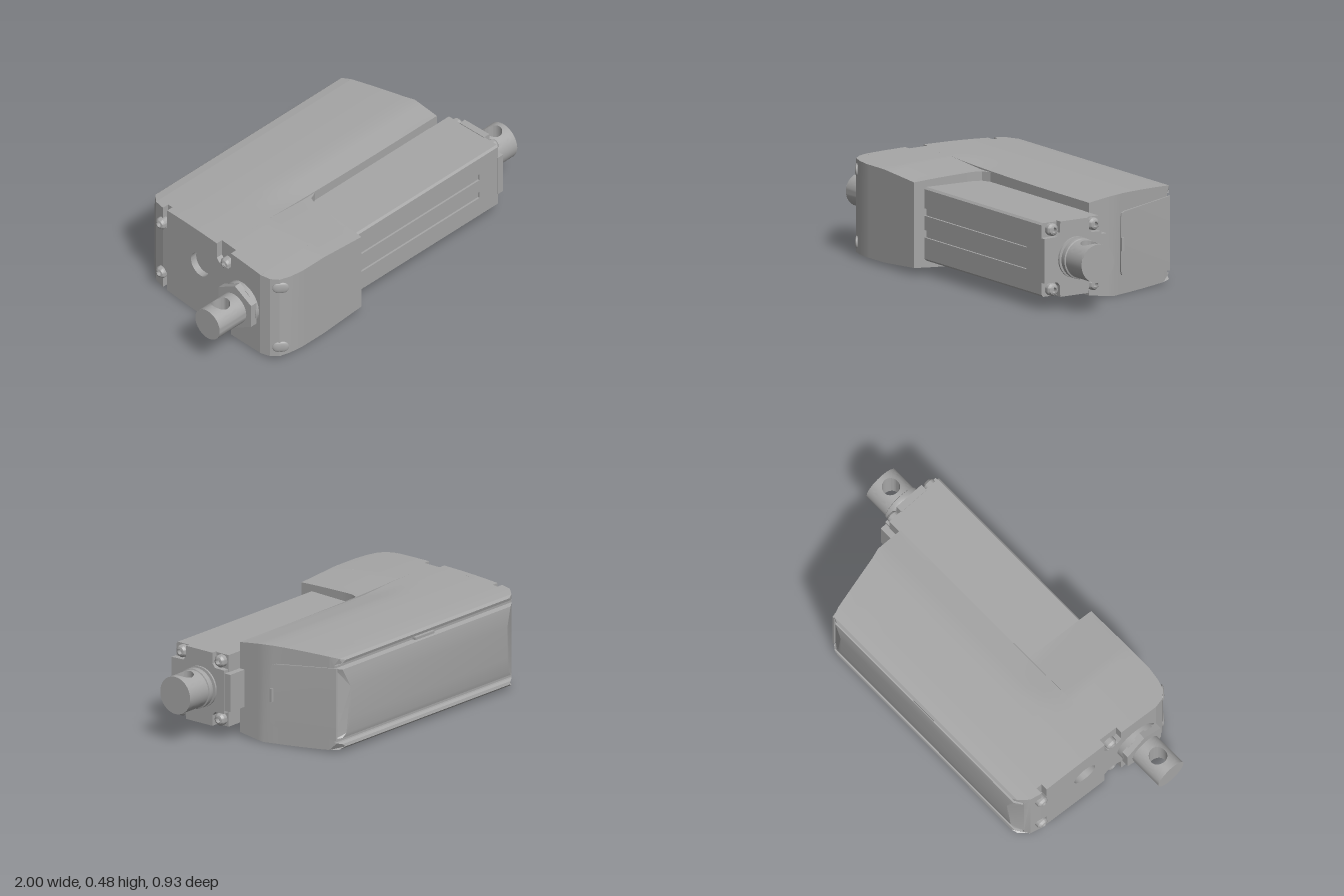
import * as THREE from 'three';
import { toCreasedNormals } from 'three/addons/utils/BufferGeometryUtils.js';

const CY = 0.2425; // mid height of the whole body

// linear interpolation in a short table of [z, x]
function lerpTable(table, z) {
  if (z <= table[0][0]) return table[0][1];
  for (let i = 1; i < table.length; i++) {
    const [z0, x0] = table[i - 1], [z1, x1] = table[i];
    if (z <= z1) return x0 + (x1 - x0) * (z - z0) / (z1 - z0);
  }
  return table[table.length - 1][1];
}

// plan outline of the housing: left and right limits for each z
const leftEdge = [[-0.465, -0.6], [-0.45, -0.65], [-0.43, -0.68], [-0.4, -0.7], [-0.34, -0.715],
  [0.35, -0.766], [0.4, -0.755], [0.435, -0.725], [0.452, -0.67], [0.462, -0.6]];
const rightEdge = [[-0.465, 0.53], [-0.45, 0.595], [-0.44, 0.61], [-0.4, 0.622], [-0.12, 0.688],
  [-0.065, 0.705], [0.08, 0.705], [0.0805, -0.12], [0.1, -0.165], [0.14, -0.18], [0.462, -0.2]];
const left = z => lerpTable(leftEdge, z);
const right = z => lerpTable(rightEdge, z);

// crowned top that dips toward the inner edge of the L
function topY(x, z) {
  const crown = z > -0.06 ? 0.018 * ((z + 0.06) / 0.52) ** 2 : 0.014 * ((z + 0.06) / 0.38) ** 2;
  const t = Math.hypot(Math.max(0, (-0.2 - x) / 0.25), Math.max(0, (0.08 - z) / 0.14));
  return 0.485 - crown - 0.018 * Math.max(0, 1 - t);
}

function fromTriangles(points, crease) {
  const g = new THREE.BufferGeometry();
  g.setAttribute('position', new THREE.Float32BufferAttribute(points, 3));
  g.computeVertexNormals();
  return toCreasedNormals(g, crease);
}

// housing lofted through sections along z, with a seat for the end plate
function housingGeometry() {
  const rows = [-0.4, -0.341, -0.34, -0.25, -0.18, -0.12, -0.065, -0.03, 0.01, 0.045, 0.08, 0.0805,
    0.09, 0.1, 0.14, 0.2, 0.26, 0.32, 0.35, 0.351, 0.375, 0.4, 0.435, 0.452, 0.462];
  const n = 20;
  const rings = rows.map(z => {
    const x0 = left(z) + (z >= -0.34 && z <= 0.35 ? 0.035 : 0), x1 = right(z);
    const top = [], bottom = [];
    for (let j = 0; j <= n; j++) {
      const x = x0 + (x1 - x0) * j / n, y = topY(x, z);
      top.push([x, y, z]);
      bottom.unshift([x, 2 * CY - y, z]);
    }
    return [...top, ...bottom];
  });
  const p = [], m = 2 * n + 2;
  const quad = (a, b, c, d) => p.push(...a, ...b, ...c, ...a, ...c, ...d);
  for (let i = 0; i < rings.length - 1; i++)
    for (let j = 0; j < m; j++) {
      const k = (j + 1) % m;
      quad(rings[i][j], rings[i + 1][j], rings[i + 1][k], rings[i][k]);
    }
  const f = rings[rings.length - 1];
  for (let j = 0; j < n; j++) quad(f[j], f[m - 1 - j], f[m - 2 - j], f[j + 1]);
  return fromTriangles(p, 0.4);
}

// shape from [z, y] points, and its extrusion along x
const shapeZY = pts => new THREE.Shape(pts.map(([z, y]) => new THREE.Vector2(-z, y)));
function extrudeX(shape, x0, x1) {
  const g = new THREE.ExtrudeGeometry(shape, { depth: x1 - x0, bevelEnabled: false, curveSegments: 24 });
  return g.rotateY(Math.PI / 2).translate(x0, 0, 0);
}
// replaces x by a rule of (x, z)
function bendX(g, rule) {
  const p = g.attributes.position;
  for (let i = 0; i < p.count; i++) p.setX(i, rule(p.getX(i), p.getZ(i)));
  g.computeVertexNormals();
  return toCreasedNormals(g, 0.4);
}

// round bar along x with a hole through it along y, centred on the origin
function eyeGeometry(L, r, hole) {
  const border = [], s = 14;
  for (let side = 0; side < 4; side++)
    for (let i = 0; i < s; i++) {
      const a = Math.sin((i / s - 0.5) * Math.PI);
      border.push([[L, a * r], [-a * L, r], [-L, -a * r], [a * L, -r]][side]);
    }
  const p = [], steps = 10;
  const quad = (a, b, c, d) => p.push(...a, ...b, ...c, ...a, ...c, ...d);
  const at = (i, t, sign) => {
    const [bx, bz] = border[i % border.length], l = Math.hypot(bx, bz);
    const k = Math.sin(t * Math.PI / 2);
    const x = bx * (hole / l + (1 - hole / l) * k), z = bz * (hole / l + (1 - hole / l) * k);
    return [x, sign * Math.sqrt(Math.max(0, r * r - z * z)), z];
  };
  for (let i = 0; i < border.length; i++) {
    for (let k = 0; k < steps; k++) {
      const t = k / steps, u = (k + 1) / steps;
      quad(at(i, t, 1), at(i + 1, t, 1), at(i + 1, u, 1), at(i, u, 1));
      quad(at(i, t, -1), at(i, u, -1), at(i + 1, u, -1), at(i + 1, t, -1));
    }
    quad(at(i, 0, 1), at(i, 0, -1), at(i + 1, 0, -1), at(i + 1, 0, 1));
  }
  return fromTriangles(p, 0.5);
}

export function createModel() {
  const model = new THREE.Group();
  const grey = new THREE.MeshStandardMaterial({ color: 0xa6a6a6, side: THREE.DoubleSide });
  grey.name = 'metal grey';
  const add = (name, geometry, x = 0, y = 0, z = 0) => {
    const mesh = new THREE.Mesh(geometry, grey);
    mesh.name = name;
    mesh.position.set(x, y, z);
    model.add(mesh);
    return mesh;
  };
  // lathe of [radius, distance] points turned so the distance runs along dir * x
  const latheX = (pts, dir) => toCreasedNormals(new THREE.LatheGeometry(
    pts.map(q => new THREE.Vector2(...q)), 40).rotateZ(-dir * Math.PI / 2), 0.5);
  const mirrorY = half => [...half, ...half.map(([z, y]) => [z, 2 * CY - y]).reverse()];

  add('housing', housingGeometry());

  // rear profile with a long groove above and below
  const rear = mirrorY([[-0.4, 0.4738], [-0.445, 0.468], [-0.456, 0.457], [-0.452, 0.443], [-0.438, 0.436],
    [-0.425, 0.436], [-0.425, 0.418], [-0.452, 0.412], [-0.457, 0.392], [-0.463, 0.32]]);
  add('rearPanel', bendX(extrudeX(shapeZY(rear), 0, 1), (x, z) => x < 0.5 ? left(z) : right(z)));
  add('rearConnector', new THREE.BoxGeometry(0.14, 0.012, 0.02), -0.02, 0.427, -0.44);

  // left end plate with open screw pockets and a cable hole
  const edge = [];
  for (let i = 0; i <= 16; i++) {
    const z = -0.34 + 0.69 * i / 16;
    edge.push([z, topY(-0.75, z)]);
  }
  const outline = [[-0.34, 0.375], [-0.31, 0.375], [-0.31, topY(-0.75, -0.31)],
    ...edge.filter(q => q[0] > -0.3 && q[0] < 0.03),
    [0.04, topY(-0.75, 0.04)], [0.04, 0.4], [0.06, 0.38], [0.12, 0.38], [0.14, 0.4], [0.14, topY(-0.75, 0.14)],
    ...edge.filter(q => q[0] > 0.15)];
  const plate = shapeZY(mirrorY(outline));
  plate.holes.push(new THREE.Path().absarc(0.08, 0.29, 0.062, 0, Math.PI * 2, true));
  add('leftEndPlate', bendX(extrudeX(plate, 0, 0.036), (x, z) => left(z) + x));

  // right end panel, slightly proud of the sloping end
  const panel = mirrorY([[-0.44, 0.422], [-0.13, 0.398], [-0.112, 0.392], [-0.105, 0.375]]);
  add('rightEndPanel', bendX(extrudeX(shapeZY(panel), 0, 0.009), (x, z) => right(z) + x));
  add('panelLatch', new THREE.BoxGeometry(0.012, 0.065, 0.014), 0.703, CY, -0.112);

  // front arm: grooved length, plain length, end plate with cut corners
  const arm = (front, back = 0.07) => shapeZY([[back, 0.065], [0.395, 0.065], [0.404, 0.075], ...front,
    [0.404, 0.41], [0.395, 0.42], [back, 0.42]]);
  const grooves = [0.195, 0.3].flatMap(y => [[0.404, y - 0.018], [0.394, y - 0.018],
    [0.394, y + 0.018], [0.404, y + 0.018]]);
  add('armGrooved', extrudeX(arm(grooves), -0.25, 0.66));
  add('armPlain', extrudeX(arm([], 0.082), 0.66, 0.785));
  add('armEndPlate', extrudeX(shapeZY(mirrorY([[0.085, 0.35], [0.14, 0.352], [0.155, 0.37], [0.157, 0.424],
    [0.318, 0.424], [0.32, 0.37], [0.335, 0.352], [0.408, 0.35]])), 0.78, 0.815));
  add('armTab', new THREE.BoxGeometry(0.13, 0.185, 0.05), 0.745, CY, 0.076);

  // socket screws on both ends
  const screw = [[0, 0.012], [0.013, 0.012], [0.013, 0.034], [0.022, 0.031], [0.03, 0.02], [0.03, -0.01]].reverse();
  for (const y of [0.098, 2 * CY - 0.098]) {
    for (const z of [0.12, 0.355]) add('armScrew', latheX(screw, 1), 0.785, y, z);
    for (const [x, z] of [[-0.705, -0.345], [-0.715, 0.09]]) add('housingScrew', latheX(screw, -1), x, y, z);
    // screw seats on the front left corner
    const seat = new THREE.CapsuleGeometry(0.03, 0.02, 6, 16).rotateZ(Math.PI / 2).scale(1, 1, 0.3);
    add('cornerSeat', seat, -0.718, y + (y > CY ? 0.03 : -0.03), 0.435).rotation.y = -0.7;
  }

  // piston rod on the right
  add('rodCollar', latheX([[0.1, -0.02], [0.1, 0.012], [0.086, 0.014], [0.086, 0.022], [0.096, 0.025],
    [0.098, 0.034], [0.098, 0.052], [0.09, 0.056], [0, 0.056]], 1), 0.812, CY, 0.23);
  add('rodEye', eyeGeometry(0.069, 0.092, 0.043), 0.931, CY + 0.001, 0.23);
  add('rodEyeEnd', new THREE.CircleGeometry(0.092, 48).rotateY(Math.PI / 2), 1, CY + 0.001, 0.23);

  // rear mount with hexagon nut on the left
  const hex = new THREE.CylinderGeometry(0.123, 0.123, 0.036, 6).rotateY(Math.PI / 6).rotateZ(Math.PI / 2);
  add('mountNut', hex.toNonIndexed(), -0.797, 0.247, 0.228).geometry.computeVertexNormals();
  add('nutWasher', latheX([[0.11, -0.02], [0.11, 0.03], [0, 0.03]], -1), -0.757, 0.247, 0.228);
  add('mountEye', eyeGeometry(0.09, 0.08, 0.044), -0.91, 0.245, 0.228);
  add('mountEyeEnd', new THREE.CircleGeometry(0.08, 48).rotateY(-Math.PI / 2), -1, 0.245, 0.228);

  return model;
}
